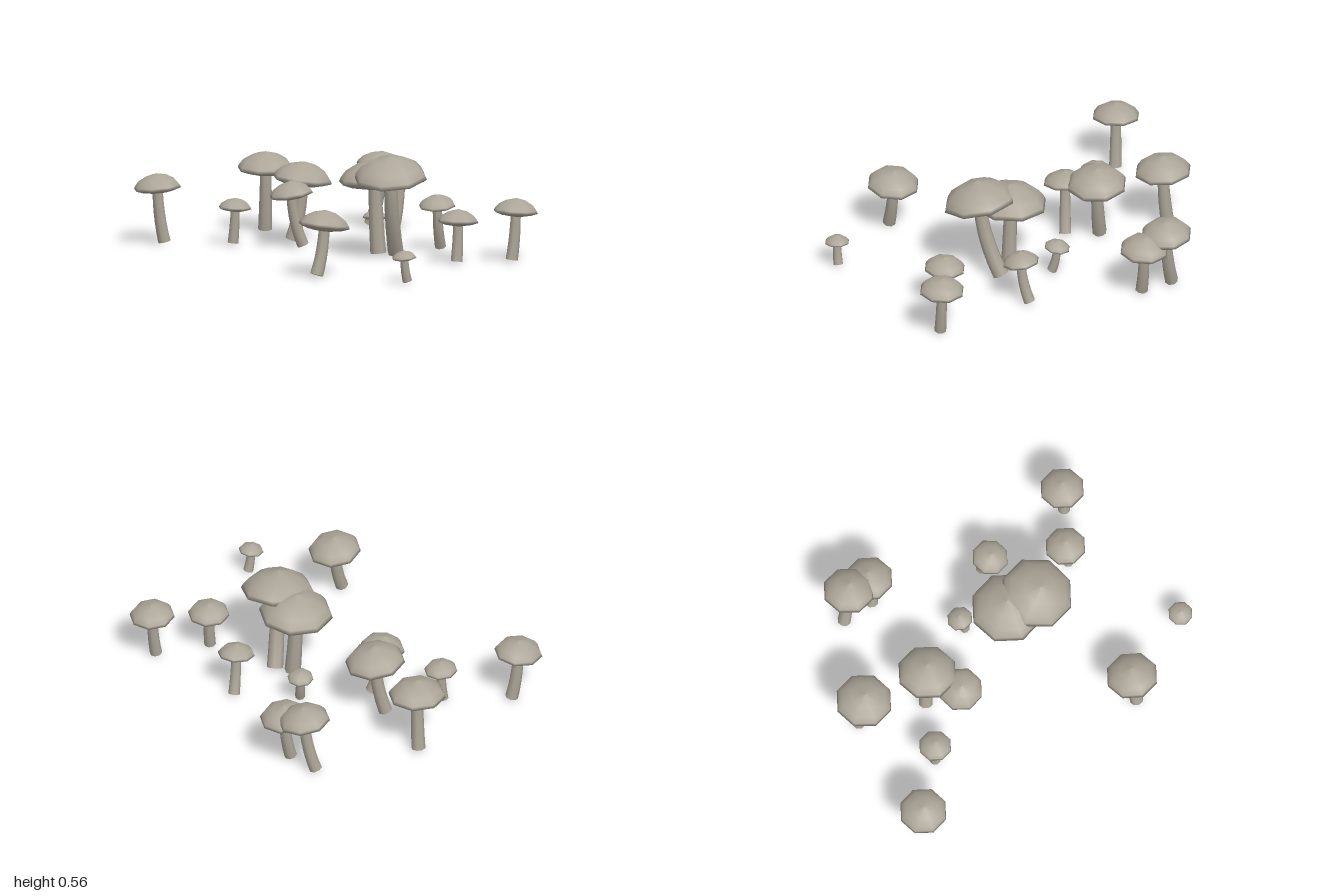
import * as THREE from 'three';

const SIDES = 8;
const UP = new THREE.Vector3(0, 1, 0);

// Cap outline for a radius of 1: underside, rim, dome
const CAP_PROFILE = [
  [0, -0.16], [0.35, -0.17], [0.7, -0.11], [1, 0],
  [0.95, 0.11], [0.8, 0.3], [0.46, 0.5], [0, 0.62],
].map(([x, y]) => new THREE.Vector2(x, y));

// cap x, cap z, cap radius, top height, foot x, foot z
const MUSHROOMS = [
  [-0.68, -0.815, 0.13, 0.385, -0.647, -0.8],
  [0.01, -0.845, 0.155, 0.44, 0.02, -0.87],
  [-0.335, -0.585, 0.09, 0.255, -0.345, -0.59],
  [0.617, -0.655, 0.14, 0.415, 0.575, -0.7],
  [0.65, -0.52, 0.133, 0.362, 0.61, -0.52],
  [0.015, -0.47, 0.163, 0.44, -0.03, -0.5],
  [-0.13, -0.34, 0.12, 0.365, -0.07, -0.32],
  [0.28, -0.155, 0.07, 0.2, 0.265, -0.13],
  [0.15, 0.065, 0.2, 0.52, 0.16, 0.08],
  [0.145, 0.235, 0.2, 0.565, 0.23, 0.145],
  [0.5, 0.125, 0.1, 0.305, 0.54, 0.09],
  [0.395, 0.52, 0.112, 0.293, 0.38, 0.53],
  [-0.44, 0.525, 0.142, 0.363, -0.49, 0.53],
  [0.685, 0.635, 0.122, 0.345, 0.66, 0.635],
  [-0.182, 0.93, 0.067, 0.18, -0.163, 0.93],
];

// Tapered cylinder bent along a curve
function bentStem(curve, footRadius, topRadius) {
  const geometry = new THREE.CylinderGeometry(topRadius, footRadius, 1, SIDES, 5);
  const position = geometry.attributes.position;
  const offset = new THREE.Vector3();
  const turn = new THREE.Quaternion();
  for (let i = 0; i < position.count; i++) {
    const t = THREE.MathUtils.clamp(position.getY(i) + 0.5, 0, 1);
    turn.setFromUnitVectors(UP, curve.getTangent(t));
    offset.set(position.getX(i), 0, position.getZ(i)).applyQuaternion(turn);
    offset.add(curve.getPoint(t));
    position.setXYZ(i, offset.x, offset.y, offset.z);
  }
  // Turn the cylinder's own normals along with the bend
  const normal = geometry.attributes.normal;
  const direction = new THREE.Vector3();
  for (let i = 0; i < normal.count; i++) {
    const t = THREE.MathUtils.clamp((position.getY(i) - curve.v0.y) / (curve.v2.y - curve.v0.y), 0, 1);
    turn.setFromUnitVectors(UP, curve.getTangent(t));
    direction.fromBufferAttribute(normal, i).applyQuaternion(turn);
    normal.setXYZ(i, direction.x, direction.y, direction.z);
  }
  return geometry;
}

function mushroom([x, z, radius, top, footX, footZ], material) {
  const group = new THREE.Group();
  group.name = 'mushroom';
  const rimY = top - 0.62 * radius;
  const neckY = rimY - 0.1 * radius;
  const footRadius = 0.018 + 0.13 * radius;

  // Stem leans at the foot and straightens towards the cap
  const lean = Math.hypot(x - footX, z - footZ) / neckY;
  const foot = new THREE.Vector3(footX, 0.01 + footRadius * lean * 0.8, footZ);
  const bend = new THREE.Vector3(
    THREE.MathUtils.lerp(footX, x, 0.85), neckY * 0.5, THREE.MathUtils.lerp(footZ, z, 0.85));
  const curve = new THREE.QuadraticBezierCurve3(foot, bend, new THREE.Vector3(x, neckY, z));
  const stem = new THREE.Mesh(bentStem(curve, footRadius, footRadius * 0.82), material);
  stem.name = 'stem';

  // Cap tips slightly the way the stem leans
  const cap = new THREE.Mesh(new THREE.LatheGeometry(CAP_PROFILE, SIDES), material);
  cap.name = 'cap';
  cap.scale.setScalar(radius);
  cap.position.set(x, rimY, z);
  const tilt = new THREE.Vector3(x - footX, neckY / 0.7, z - footZ).normalize();
  cap.quaternion.setFromUnitVectors(UP, tilt);

  group.add(stem, cap);
  return group;
}

export function createModel() {
  const material = new THREE.MeshStandardMaterial({ color: 0xaca598 });
  material.name = 'greyBeige';
  const model = new THREE.Group();
  model.name = 'mushroomPatch';
  for (const entry of MUSHROOMS) model.add(mushroom(entry, material));
  return model;
}
